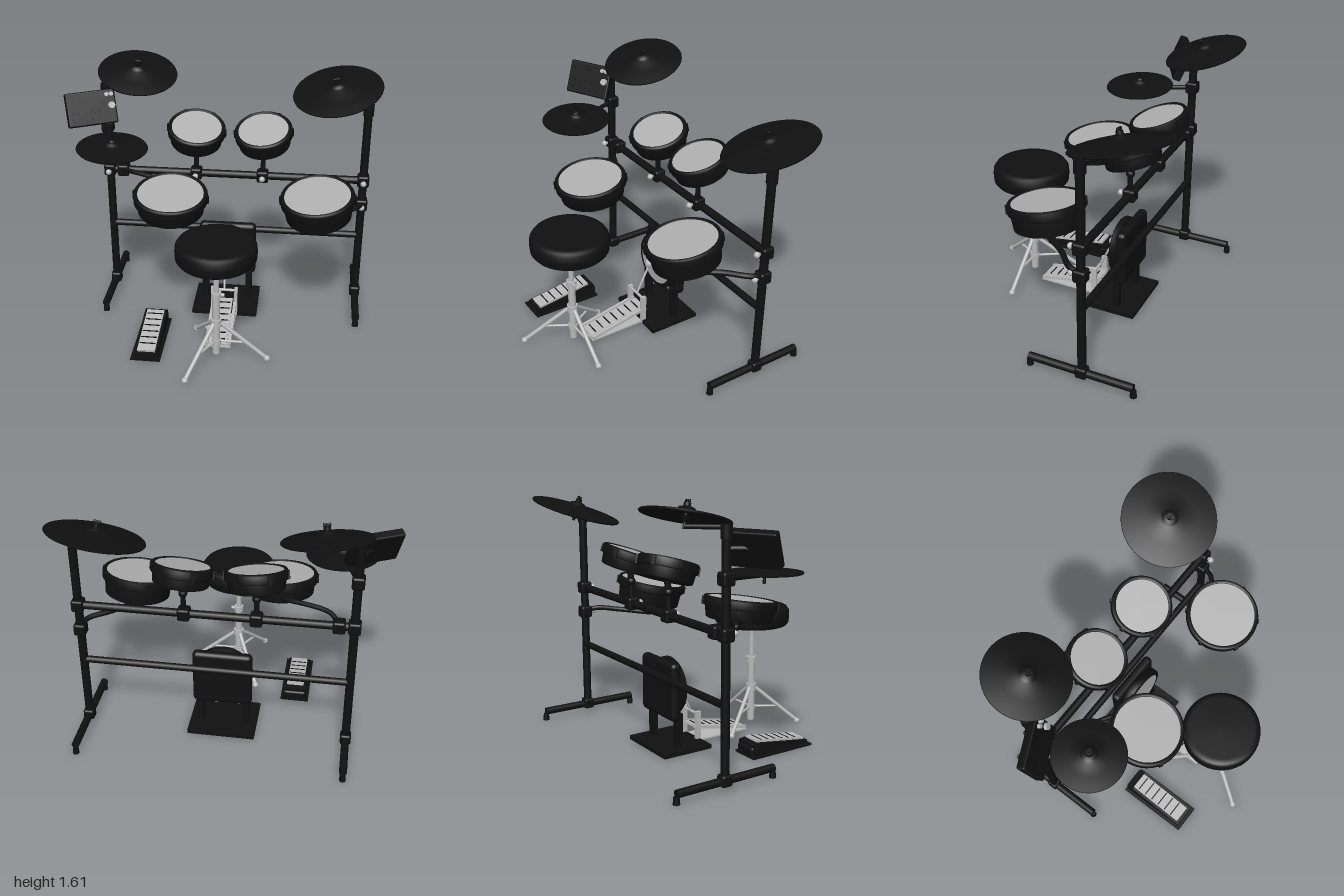
import * as THREE from 'three';
import { RoundedBoxGeometry } from 'three/addons/geometries/RoundedBoxGeometry.js';

const mat = (name, color) => {
  const m = new THREE.MeshStandardMaterial({ color });
  m.name = name;
  return m;
};
const V = (p) => new THREE.Vector3(...p);

export function createModel() {
  const black = mat('black', 0x101010);
  const mesh = mat('drum head grey', 0xb0b0b0);
  const metal = mat('metal', 0xb8b8b8);
  const root = new THREE.Group();
  root.name = 'drumKit';

  const group = (name, pos = [0, 0, 0], rot = [0, 0, 0]) => {
    const g = new THREE.Group();
    g.name = name;
    g.position.set(...pos);
    g.rotation.set(...rot);
    root.add(g);
    return g;
  };
  const add = (parent, name, geo, m, pos = [0, 0, 0], rot = [0, 0, 0]) => {
    const o = new THREE.Mesh(geo, m);
    o.name = name;
    o.position.set(...pos);
    o.rotation.set(...rot);
    parent.add(o);
    return o;
  };
  const cyl = (r, h, r2 = r, seg = 24) => new THREE.CylinderGeometry(r, r2, h, seg);
  const ball = (r) => new THREE.SphereGeometry(r, 18, 12);
  const box = (w, h, d) => new THREE.BoxGeometry(w, h, d);
  const rbox = (w, h, d, r = 0.01) => new RoundedBoxGeometry(w, h, d, 3, r);
  const lathe = (pts, seg = 48) => new THREE.LatheGeometry(pts.map((p) => new THREE.Vector2(...p)), seg);
  // straight round bar between two points
  const rod = (parent, name, a, b, r, m) => {
    const d = V(b).sub(V(a));
    const o = add(parent, name, cyl(r, d.length(), r, 16), m, V(a).add(V(b)).multiplyScalar(0.5).toArray());
    o.quaternion.setFromUnitVectors(V([0, 1, 0]), d.normalize());
  };
  // bent arm through several points
  const arm = (parent, name, pts, r = 0.015) =>
    add(parent, name, new THREE.TubeGeometry(new THREE.CatmullRomCurve3(pts.map(V)), 24, r, 12), black);

  // ---- Rack ----
  const rack = group('rack');
  const L = -0.76, R = 0.9, Z = -0.33;
  const clamp = (x, y, knob) => {
    add(rack, 'clamp', rbox(0.075, 0.078, 0.078, 0.014), black, [x, y, Z]);
    if (!knob) return;
    rod(rack, 'clampBolt', [x, y, Z], [x, y, Z + 0.055], 0.01, metal);
    add(rack, 'clampKnob', ball(0.019), metal, [x, y, Z + 0.06]);
  };
  for (const [x, top] of [[L, 1.49], [R, 1.42]]) {
    rod(rack, 'post', [x, 0.05, Z], [x, top, Z], 0.026, black);
    add(rack, 'postCap', cyl(0.033, 0.075), black, [x, top - 0.04, Z]);
    add(rack, 'footJoint', rbox(0.068, 0.07, 0.07, 0.014), black, [x, 0.065, Z]);
    rod(rack, 'foot', [x, 0.06, 0.015], [x, 0.06, -0.65], 0.024, black);
    for (const z of [0.01, -0.65]) add(rack, 'rubberFoot', cyl(0.017, 0.045, 0.021), black, [x, 0.0225, z]);
    clamp(x, 0.895, true);
  }
  clamp(R, 0.725, true);
  clamp(0.25, 0.895, true);
  clamp(-0.185, 0.895, true);
  clamp(-0.67, 0.895, false);
  clamp(L, 1.2, false);
  rod(rack, 'upperBar', [L, 0.895, Z], [R, 0.895, Z], 0.025, black);
  rod(rack, 'lowerBar', [L, 0.495, Z], [R, 0.495, Z], 0.022, black);

  // ---- Drum pads: origin at the centre of the head ----
  const drum = (name, pos, tilt, roll, r, h) => {
    const g = group(name, pos, [tilt, 0, roll]);
    const b = r * 0.93;
    add(g, 'shell', lathe([[0, -h], [b * 0.9, -h], [b * 0.96, -h + 0.008], [b, -0.05], [b, -0.02]]), black);
    add(g, 'rim', lathe([[b - 0.01, -0.055], [r - 0.006, -0.055], [r, -0.048], [r, -0.006],
      [r - 0.006, 0.004], [r - 0.02, 0.006], [r - 0.027, -0.004]]), black);
    add(g, 'head', cyl(r - 0.024, 0.008, r - 0.024, 48), mesh, [0, -0.005, 0]);
    for (let i = 0; i < 6; i++) {
      const a = (i + 0.5) * Math.PI / 3;
      add(g, 'lug', box(0.022, 0.05, 0.016), black,
        [Math.sin(a) * (r - 0.001), -0.03, Math.cos(a) * (r - 0.001)], [0, a, 0]);
    }
  };
  drum('snarePad', [-0.283, 0.962, 0.125], 0.15, -0.03, 0.228, 0.13);
  drum('floorTomPad', [0.608, 0.95, 0.035], 0.16, 0.1, 0.228, 0.155);
  drum('highTomPad', [-0.178, 1.222, -0.32], 0.31, -0.09, 0.185, 0.12);
  drum('midTomPad', [0.248, 1.222, -0.32], 0.31, 0.09, 0.185, 0.12);

  // ---- Pad mounts ----
  const mounts = group('padMounts');
  for (const x of [-0.185, 0.252]) {
    rod(mounts, 'tomStem', [x, 0.9, Z], [x, 1.05, Z], 0.016, black);
    add(mounts, 'tomJoint', ball(0.027), black, [x, 1.035, Z]);
    rod(mounts, 'tomNeck', [x, 1.035, Z], [x, 1.13, -0.34], 0.02, black);
  }
  arm(mounts, 'snareArm', [[-0.67, 0.895, -0.32], [-0.61, 0.925, -0.24], [-0.32, 0.9, -0.09], [-0.283, 0.8, 0.08]]);
  add(mounts, 'snareJoint', ball(0.026), black, [-0.283, 0.79, 0.09]);
  rod(mounts, 'snareNeck', [-0.283, 0.79, 0.09], [-0.283, 0.86, 0.1], 0.022, black);
  arm(mounts, 'floorTomArm', [[R, 0.73, Z], [0.88, 0.745, -0.25], [0.76, 0.742, -0.14], [0.615, 0.725, 0.03]], 0.017);
  add(mounts, 'floorTomJoint', ball(0.026), black, [0.612, 0.742, 0.03]);
  rod(mounts, 'floorTomNeck', [0.612, 0.74, 0.03], [0.612, 0.83, 0.03], 0.024, black);

  // ---- Cymbals ----
  const cymbal = (name, pos, tilt, roll, r, stud, bow) => {
    const g = group(name, pos, [tilt, 0, roll]);
    add(g, 'plate', lathe([[0, bow - 0.016], [r * 0.5, bow * 0.5 - 0.016], [r - 0.006, -0.012], [r, -0.005], [r - 0.004, 0.001],
      [r * 0.6, bow * 0.5], [0.055, bow], [0.045, bow + 0.014], [0.022, bow + 0.022], [0, bow + 0.024]], 56), black);
    rod(g, 'stud', [0, -0.07, 0], [0, stud, 0], 0.009, black);
    add(g, 'felt', cyl(0.02, 0.02), black, [0, bow + 0.03, 0]);
    add(g, 'underCup', cyl(0.03, 0.035, 0.014), black, [0, -0.018, 0]);
    return g;
  };
  const crashL = cymbal('leftCrash', [-0.577, 1.525, -0.465], 0.26, -0.12, 0.255, 0.085, 0.03);
  const crashR = cymbal('rightCrash', [0.707, 1.45, -0.47], 0.25, 0.17, 0.288, 0.085, 0.03);
  for (const g of [crashL, crashR]) add(g, 'wingNut', rbox(0.045, 0.018, 0.014, 0.005), black, [0, 0.08, 0]);
  const hat = cymbal('hiHat', [-0.66, 1.195, 0.005], 0.04, -0.045, 0.221, 0.085, 0.018);
  add(hat, 'clutch', ball(0.026), black, [0, 0.035, 0]);
  const stands = group('cymbalArms');
  rod(stands, 'leftCrashArm', [L, 1.475, Z], [-0.58, 1.47, -0.48], 0.014, black);
  rod(stands, 'rightCrashArm', [R, 1.41, Z], [0.715, 1.4, -0.485], 0.014, black);
  rod(stands, 'hiHatArm', [L, 1.2, Z], [-0.66, 1.175, 0.005], 0.014, black);

  // ---- Sound module ----
  const module = group('soundModule', [-0.832, 1.36, -0.21]);
  module.rotation.set(-0.4, 0.47, 0, 'YXZ');
  add(module, 'case', rbox(0.315, 0.215, 0.055, 0.01), black);
  add(module, 'screen', box(0.09, 0.045, 0.006), black, [-0.06, 0.06, 0.028]);
  for (let i = 0; i < 10; i++)
    add(module, 'button', box(0.028, 0.016, 0.008), black, [-0.115 + (i % 5) * 0.042, -0.02 - Math.floor(i / 5) * 0.045, 0.029]);
  for (const [x, y, r] of [[0.1, 0.075, 0.013], [0.13, 0.075, 0.013], [0.125, 0.005, 0.021]])
    add(module, 'dial', cyl(r, 0.022), metal, [x, y, 0.036], [Math.PI / 2, 0, 0]);
  rod(stands, 'moduleArm', [L, 1.36, Z], [-0.82, 1.36, -0.23], 0.018, black);

  // ---- Kick pad ----
  const kick = group('kickPad', [0.033, 0, 0]);
  const H = Math.PI / 2;
  add(kick, 'backPanel', rbox(0.375, 0.37, 0.065, 0.028), black, [0, 0.392, -0.254]);
  add(kick, 'padDrum', lathe([[0, -0.035], [0.182, -0.035], [0.184, 0.012], [0.176, 0.022], [0.158, 0.024], [0.15, 0.015]]),
    black, [0, 0.392, -0.195], [H, 0, 0]);
  add(kick, 'kickHead', cyl(0.154, 0.01, 0.154, 48), mesh, [0, 0.392, -0.177], [H, 0, 0]);
  for (const s of [-1, 1]) add(kick, 'kickLeg', box(0.042, 0.24, 0.042), black, [s * 0.147, 0.13, -0.222]);
  add(kick, 'basePlate', box(0.43, 0.026, 0.345), black, [0, 0.013, -0.19]);

  // ---- Kick pedal ----
  const pedal = group('kickPedal', [0.033, 0, 0]);
  add(pedal, 'pedalBase', box(0.16, 0.01, 0.4), metal, [0, 0.012, 0.16]);
  const slope = Math.atan2(0.08, 0.41);
  const board = new THREE.Group();
  board.name = 'footboard';
  board.position.set(0, 0.068, 0.152);
  board.rotation.x = slope;
  pedal.add(board);
  add(board, 'tread', box(0.11, 0.012, 0.415), metal);
  for (const s of [-1, 1]) add(board, 'sideRail', box(0.02, 0.02, 0.415), metal, [s * 0.072, 0, 0]);
  for (let i = 0; i < 7; i++) add(board, 'grip', box(0.085, 0.005, 0.008), black, [0, 0.007, -0.165 + i * 0.055]);
  for (const s of [-1, 1]) add(pedal, 'upright', box(0.02, 0.2, 0.036), metal, [s * 0.078, 0.107, -0.028]);
  rod(pedal, 'axle', [-0.08, 0.19, -0.03], [0.08, 0.19, -0.03], 0.009, metal);
  rod(pedal, 'beaterRod', [0, 0.19, -0.03], [0, 0.39, -0.128], 0.007, metal);
  add(pedal, 'beater', ball(0.033), metal, [0, 0.395, -0.13]).scale.x = 0.85;

  // ---- Hi-hat pedal ----
  const hp = group('hiHatPedal', [-0.4, 0, 0]);
  add(hp, 'floorPlate', box(0.185, 0.012, 0.465), black, [0, 0.006, 0.31]);
  const wedge = new THREE.Shape([[-0.52, 0.01], [-0.09, 0.01], [-0.09, 0.085], [-0.13, 0.092], [-0.52, 0.035]].map((p) => new THREE.Vector2(...p)));
  add(hp, 'pedalBody', new THREE.ExtrudeGeometry(wedge, { depth: 0.146, bevelEnabled: false }), black, [-0.073, 0, 0], [0, H, 0]);
  add(hp, 'heelBlock', rbox(0.15, 0.06, 0.07, 0.015), black, [0, 0.04, 0.113]);
  const plate = new THREE.Group();
  plate.name = 'hatFootboard';
  plate.position.set(0, 0.072, 0.315);
  plate.rotation.x = Math.atan2(0.055, 0.37);
  hp.add(plate);
  add(plate, 'hatTread', box(0.112, 0.014, 0.375), metal);
  for (let i = 0; i < 6; i++) add(plate, 'hatGrip', box(0.1, 0.005, 0.008), black, [0, 0.007, -0.15 + i * 0.055]);

  // ---- Throne ----
  const throne = group('throne', [0.035, 0, 0.457]);
  add(throne, 'seat', lathe([[0, 0.702], [0.2, 0.702], [0.228, 0.708], [0.241, 0.725], [0.244, 0.765], [0.241, 0.803],
    [0.228, 0.822], [0.2, 0.828], [0, 0.83]]), black);
  rod(throne, 'innerTube', [0, 0.4, 0], [0, 0.662, 0], 0.017, metal);
  rod(throne, 'outerTube', [0, 0.04, 0], [0, 0.46, 0], 0.024, metal);
  add(throne, 'heightCollar', cyl(0.031, 0.035), metal, [0, 0.463, 0]);
  rod(throne, 'collarScrew', [0, 0.463, 0], [0.05, 0.463, 0], 0.011, metal);
  add(throne, 'legCollar', cyl(0.034, 0.045), metal, [0, 0.27, 0]);
  add(throne, 'strutCollar', cyl(0.03, 0.03), metal, [0, 0.13, 0]);
  for (let i = 0; i < 3; i++) {
    const a = (i * 2 * Math.PI) / 3, c = Math.cos(a), s = Math.sin(a);
    rod(throne, 'leg', [c * 0.025, 0.265, s * 0.025], [c * 0.315, 0.022, s * 0.315], 0.013, metal);
    rod(throne, 'strut', [0, 0.13, 0], [c * 0.185, 0.13, s * 0.185], 0.008, metal);
    add(throne, 'legTip', ball(0.02), metal, [c * 0.315, 0.02, s * 0.315]);
  }
  return root;
}
